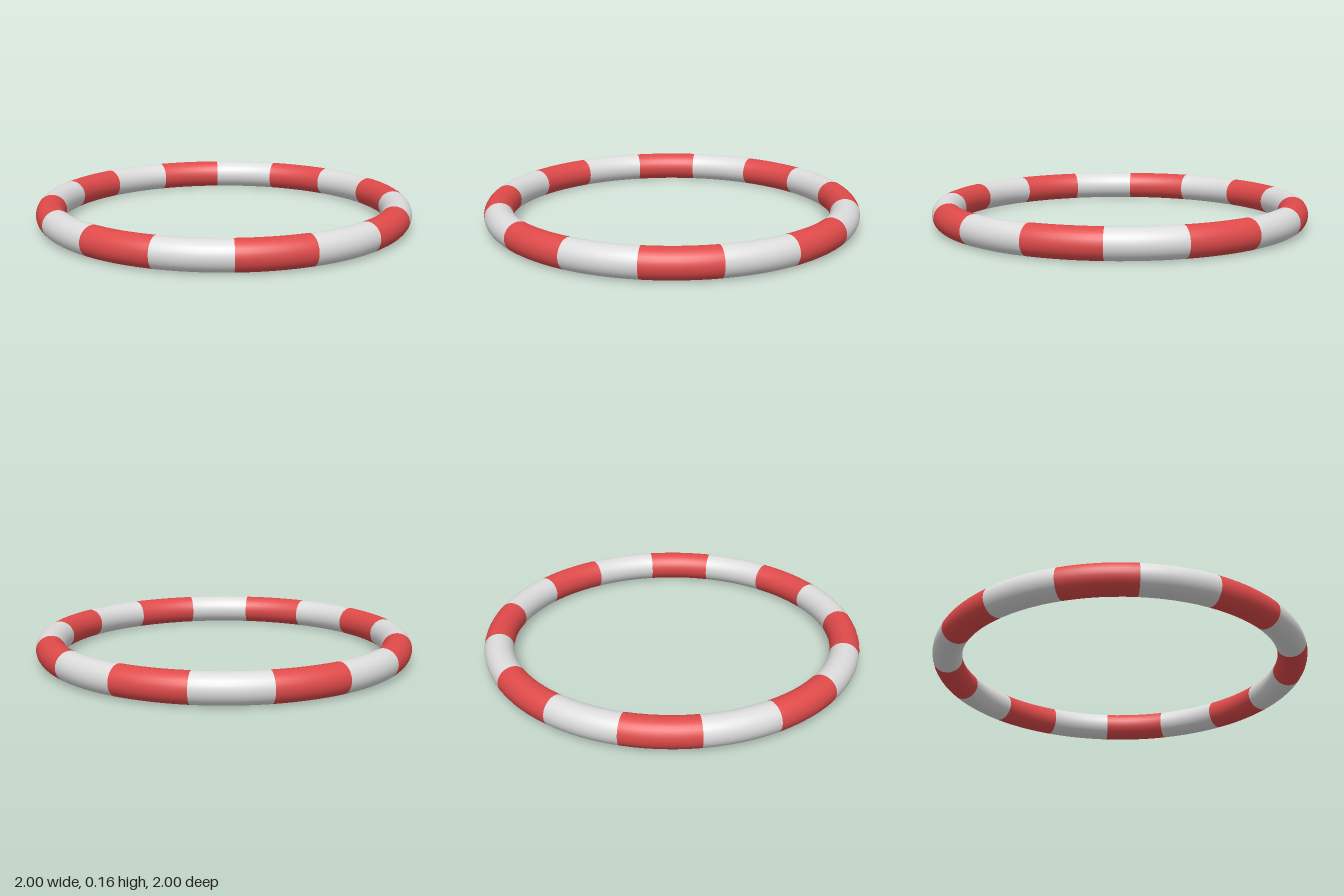
import * as THREE from 'three';

export function createModel() {
  const group = new THREE.Group();
  group.name = 'stripedRing';

  const red = new THREE.MeshStandardMaterial({ color: 0xe04a4a });
  red.name = 'red';
  const white = new THREE.MeshStandardMaterial({ color: 0xdcdcdc });
  white.name = 'white';

  const tube = 0.0775;
  const radius = 1 - tube;
  const count = 16;
  const arc = (Math.PI * 2) / count;
  const offset = THREE.MathUtils.degToRad(0.4);

  // One ring section lying flat, sweeping from +x towards +z
  const section = new THREE.TorusGeometry(radius, tube, 28, 6, arc);
  section.rotateX(Math.PI / 2);

  // Alternating red and white sections around the ring
  for (let i = 0; i < count; i++) {
    const isRed = i % 2 === 0;
    const mesh = new THREE.Mesh(section, isRed ? red : white);
    mesh.name = (isRed ? 'redSection' : 'whiteSection') + (Math.floor(i / 2) + 1);
    mesh.position.y = tube;
    mesh.rotation.y = -(i * arc + offset);
    group.add(mesh);
  }
  return group;
}
